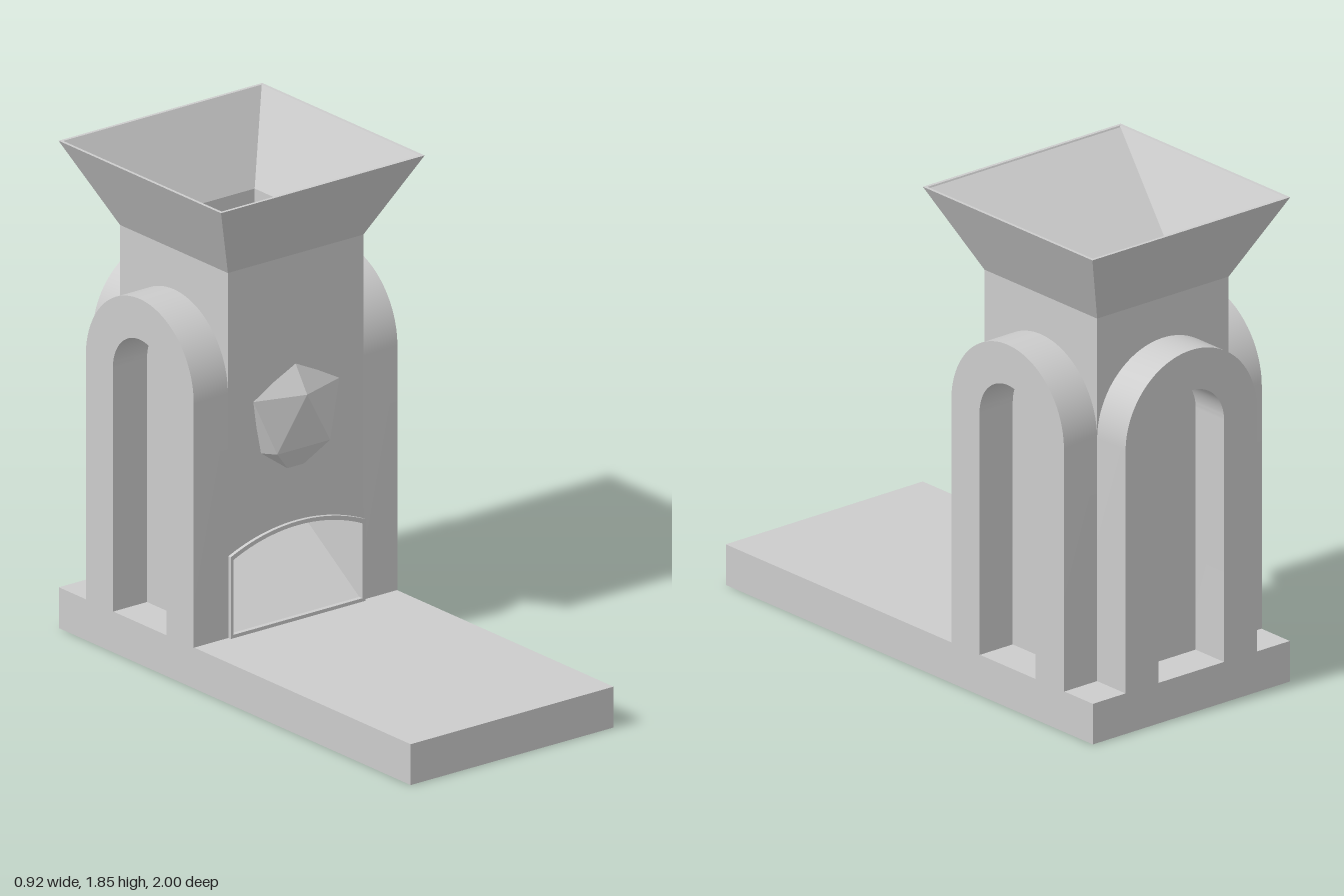
import * as THREE from 'three';
import { toCreasedNormals } from 'three/addons/utils/BufferGeometryUtils.js';
import { ConvexGeometry } from 'three/addons/geometries/ConvexGeometry.js';

const BASE = 0.155;          // top of the base slab
const NECK = 1.54;           // where the funnel starts
const HALF = 0.307;          // half width of the tower
const WALL = 0.015;
const CZ = -0.538;           // tower centre in z
const OUT = 0.46;

export function createModel() {
  const group = new THREE.Group();
  const mat = new THREE.MeshStandardMaterial({ color: 0xcccccc });
  const flatMat = new THREE.MeshStandardMaterial({ color: 0xcccccc, flatShading: true });

  const add = (name, geo, material = mat) => {
    const mesh = new THREE.Mesh(geo, material);
    mesh.name = name;
    group.add(mesh);
    return mesh;
  };
  const box = (name, w, h, d, x, y, z) =>
    add(name, new THREE.BoxGeometry(w, h, d)).position.set(x, y, z);
  const extrude = (shape, depth) => toCreasedNormals(
    new THREE.ExtrudeGeometry(shape, { depth, bevelEnabled: false, curveSegments: 24 }), 0.5);

  // Base slab and rolling tray
  box('base', OUT * 2, BASE, 2, 0, BASE / 2, 0);

  // Doorway outline with a shallow arched top
  const doorway = (Type, half, bottom, side, top) => {
    const sag = top - side;
    const r = (half * half + sag * sag) / (2 * sag);
    const a = Math.asin(half / r);
    const s = new Type();
    s.moveTo(-half, bottom);
    s.lineTo(half, bottom);
    s.lineTo(half, side);
    s.absarc(0, top - r, r, Math.PI / 2 - a, Math.PI / 2 + a, false);
    s.lineTo(-half, bottom);
    return s;
  };
  const doorHole = () => doorway(THREE.Path, 0.293, 0.168, 0.452, 0.515);

  // Tower walls
  const front = new THREE.Shape();
  front.moveTo(-HALF, BASE);
  front.lineTo(HALF, BASE);
  front.lineTo(HALF, NECK);
  front.lineTo(-HALF, NECK);
  front.holes.push(doorHole());
  add('frontWall', extrude(front, WALL)).position.z = CZ + HALF - WALL;
  const wallH = NECK - BASE, wallY = (NECK + BASE) / 2;
  for (const s of [-1, 1]) {
    box(s > 0 ? 'leftWall' : 'rightWall', WALL, wallH, HALF * 2 - WALL * 2,
      s * (HALF - WALL / 2), wallY, CZ);
  }
  box('backWall', HALF * 2, wallH, WALL, 0, wallY, CZ - HALF + WALL / 2);

  // Raised frame around the doorway
  const frame = doorway(THREE.Shape, 0.305, BASE, 0.465, 0.53);
  frame.holes.push(doorHole());
  add('doorFrame', extrude(frame, 0.014)).position.z = CZ + HALF;

  // Square funnel, a four-sided lathe
  const profile = [[HALF - WALL, NECK], [HALF, NECK], [0.462, 1.85], [0.45, 1.85], [HALF - WALL, NECK]]
    .map(([r, y]) => new THREE.Vector2(r * Math.SQRT2, y));
  add('funnel', new THREE.LatheGeometry(profile, 4, Math.PI / 4), flatMat).position.z = CZ;

  // Inner ramps: side outlines in (z, y), swept across the tower
  const ramp = (name, pts) => {
    const inner = HALF - WALL;
    const geo = new THREE.ExtrudeGeometry(
      new THREE.Shape(pts.map(([z, y]) => new THREE.Vector2(z, y))),
      { depth: inner * 2, bevelEnabled: false });
    geo.rotateY(-Math.PI / 2).translate(inner, 0, 0);
    // Widen with the funnel above the neck
    const p = geo.attributes.position;
    for (let i = 0; i < p.count; i++) {
      const grow = Math.max(0, p.getY(i) - NECK) * 0.51;
      p.setX(i, Math.sign(p.getX(i)) * (inner + grow));
    }
    geo.computeVertexNormals();
    add(name, geo, flatMat);
  };
  ramp('upperRamp', [[-0.092, 1.845], [-0.55, NECK], [-0.585, 1.515], [-0.245, 1.515], [-0.245, NECK]]);
  ramp('middleRamp', [[-0.832, 1.15], [-0.832, 1.11], [-0.49, 0.88], [-0.49, 0.92]]);
  ramp('exitRamp', [[-0.235, BASE], [-0.235, 0.168], [-0.832, 0.57], [-0.832, BASE]]);

  // Arched buttresses on both sides and the back
  const arch = new THREE.Shape();
  const spring = 1.08, inR = 0.153;
  arch.moveTo(HALF, BASE);
  arch.lineTo(HALF, spring);
  arch.absarc(0, spring, HALF, 0, Math.PI, false);
  arch.lineTo(-HALF, BASE);
  arch.lineTo(-inR, BASE);
  arch.lineTo(-inR, spring);
  arch.absarc(0, spring, inR, Math.PI, 0, true);
  arch.lineTo(inR, BASE);
  const archGeo = extrude(arch, 0.155).translate(0, 0, HALF);
  for (const [name, turn] of [['leftArch', 0.5], ['rightArch', -0.5], ['backArch', 1]]) {
    const m = add(name, archGeo);
    m.position.z = CZ;
    m.rotation.y = turn * Math.PI;
  }

  // Half-sunk faceted die on the front wall
  const zw = -0.235;
  const pts = [[0, 1.025, -0.165], [0, 1.13, zw]];
  for (const s of [-1, 1]) {
    pts.push([s * 0.195, 1.025, zw + 0.008], [s * 0.12, 0.82, -0.185],
      [s * 0.16, 0.82, zw], [s * 0.03, 0.728, zw]);
  }
  add('die', new ConvexGeometry(pts.map((p) => new THREE.Vector3(...p))), flatMat);

  return group;
}
